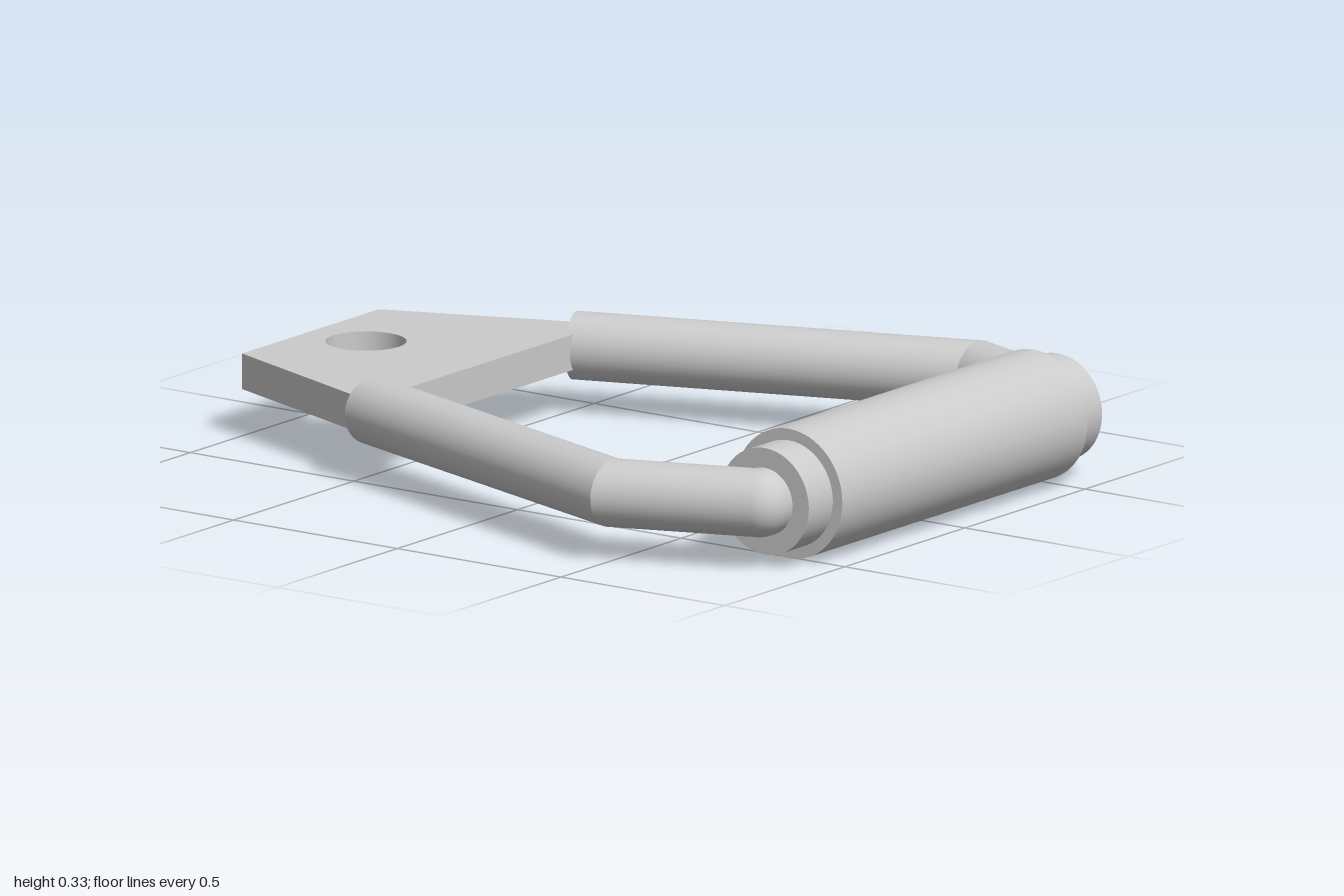
import * as THREE from 'three';

const MID = 0.165;      // height of the centre plane
const ROD = 0.085;      // rod radius
const GRIP_Z = 0.836;

const material = new THREE.MeshStandardMaterial({ color: 0xcccccc });

function add(parent, name, geometry) {
  const mesh = new THREE.Mesh(geometry, material);
  mesh.name = name;
  parent.add(mesh);
  return mesh;
}

// Straight rod from a to b; the end at the elbow is cut on the plane z = miterZ
function rodGeometry(a, b, miterZ) {
  const dir = b.clone().sub(a);
  const length = dir.length();
  dir.normalize();
  const g = new THREE.CylinderGeometry(ROD, ROD, length, 40);
  g.applyQuaternion(new THREE.Quaternion().setFromUnitVectors(new THREE.Vector3(0, 1, 0), dir));
  const centre = a.clone().add(b).multiplyScalar(0.5);
  g.translate(centre.x, centre.y, centre.z);
  const pos = g.attributes.position;
  const v = new THREE.Vector3();
  for (let i = 0; i < pos.count; i++) {
    v.fromBufferAttribute(pos, i);
    const nearElbow = Math.abs(a.z - miterZ) < 1e-6
      ? v.distanceTo(a) < v.distanceTo(b)
      : v.distanceTo(b) < v.distanceTo(a);
    if (nearElbow) {
      v.addScaledVector(dir, (miterZ - v.z) / dir.z);
      pos.setXYZ(i, v.x, v.y, v.z);
    }
  }
  return g;
}

// Cylinder lying along x on the grip axis
function barGeometry(radius, length) {
  return new THREE.CylinderGeometry(radius, radius, length, 64).rotateZ(Math.PI / 2);
}

export function createModel() {
  const model = new THREE.Group();
  model.name = 'pullHandle';

  // Grip sleeve, the narrower collar tube and the bar through them
  const handle = new THREE.Group();
  handle.name = 'handle';
  handle.position.set(0, MID, GRIP_Z);
  model.add(handle);
  add(handle, 'grip', barGeometry(0.164, 1.02));
  add(handle, 'collar', barGeometry(0.135, 1.22));
  add(handle, 'crossBar', barGeometry(ROD, 1.26));

  // Bent side arms
  for (const side of [1, -1]) {
    const arm = new THREE.Group();
    arm.name = side > 0 ? 'leftArm' : 'rightArm';
    model.add(arm);
    const top = new THREE.Vector3(side * 0.42, MID, -0.5);
    const elbow = new THREE.Vector3(side * 0.76, MID, 0.48);
    const corner = new THREE.Vector3(side * 0.63, MID, GRIP_Z);
    add(arm, 'longRod', rodGeometry(top, elbow, elbow.z));
    add(arm, 'shortRod', rodGeometry(elbow, corner, elbow.z));
    add(arm, 'cornerJoint', new THREE.SphereGeometry(ROD, 40, 24)).position.copy(corner);
  }

  // Tapered plate with a hole, drawn in x and -z, then laid flat
  const outline = new THREE.Shape([
    new THREE.Vector2(-0.495, 0.46),
    new THREE.Vector2(0.495, 0.46),
    new THREE.Vector2(0.285, 1),
    new THREE.Vector2(-0.285, 1),
  ]);
  const hole = new THREE.Path();
  hole.absarc(0, 0.83, 0.1, 0, Math.PI * 2, true);
  outline.holes.push(hole);
  const plate = new THREE.ExtrudeGeometry(outline, { depth: 0.09, bevelEnabled: false, curveSegments: 48 });
  plate.rotateX(-Math.PI / 2);
  add(model, 'attachmentPlate', plate).position.y = MID - 0.045;

  return model;
}
